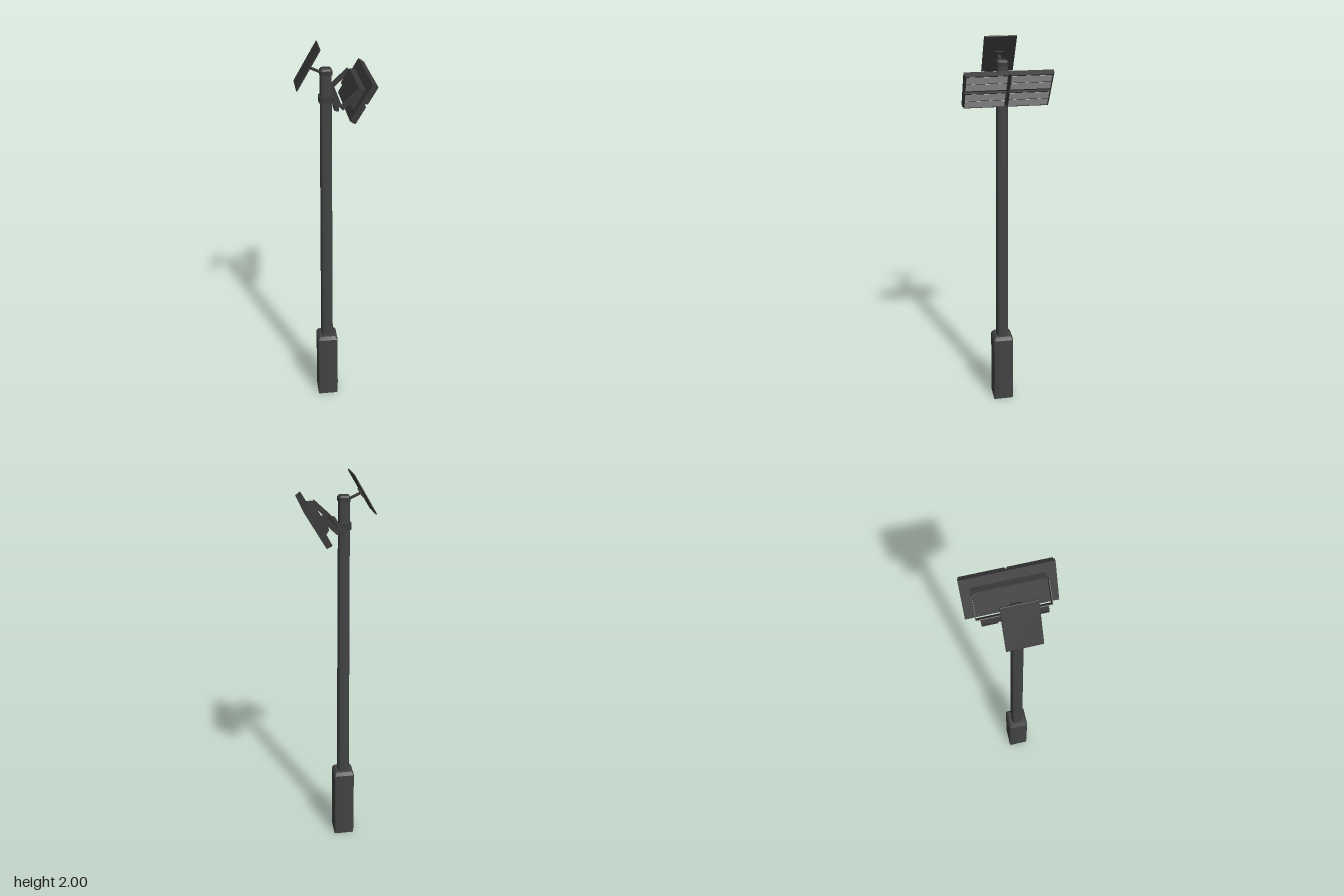
import * as THREE from 'three';
import { toCreasedNormals } from 'three/addons/utils/BufferGeometryUtils.js';
import { RoundedBoxGeometry } from 'three/addons/geometries/RoundedBoxGeometry.js';

const mat = (name, color) => Object.assign(new THREE.MeshStandardMaterial({ color }), { name });

export function createModel() {
  const root = new THREE.Group();
  root.name = 'solarFloodlightPole';
  const poleGrey = mat('poleGrey', 0x424343);
  const housing = mat('darkHousing', 0x393939);
  const lens = mat('lensGrey', 0xbcbcbc);
  const poleX = -0.034;

  const add = (parent, name, geo, material, x = 0, y = 0, z = 0) => {
    const m = new THREE.Mesh(geo, material);
    m.name = name;
    m.position.set(x, y, z);
    parent.add(m);
    return m;
  };
  const box = (parent, name, w, h, d, material, x, y, z) =>
    add(parent, name, new THREE.BoxGeometry(w, h, d), material, x, y, z);
  const group = (name, x, y, tilt) => {
    const g = new THREE.Group();
    g.name = name;
    g.position.set(x, y, 0);
    g.rotation.z = tilt;
    root.add(g);
    return g;
  };

  // Upright prism with a rounded square section, tapering towards its top
  const prism = (name, half, r, y0, y1, topScale, material) => {
    const s = new THREE.Shape();
    const c = half - r;
    [[c, c], [-c, c], [-c, -c], [c, -c]].forEach(([x, y], i) =>
      s.absarc(x, y, r, i * Math.PI / 2, (i + 1) * Math.PI / 2, false));
    const h = y1 - y0;
    const g = new THREE.ExtrudeGeometry(s, { depth: h, bevelEnabled: false, curveSegments: 5 });
    g.rotateX(-Math.PI / 2);
    const p = g.attributes.position;
    for (let i = 0; i < p.count; i++) {
      const k = 1 + (topScale - 1) * p.getY(i) / h;
      p.setX(i, p.getX(i) * k);
      p.setZ(i, p.getZ(i) * k);
    }
    return add(root, name, toCreasedNormals(g, 0.6), material, poleX, y0, 0);
  };

  // Battery base, pole and cap
  prism('base', 0.054, 0.008, 0, 0.382, 1, poleGrey);
  prism('baseShoulder', 0.054, 0.008, 0.382, 0.4, 0.78, poleGrey);
  prism('pole', 0.031, 0.016, 0.395, 1.87, 0.84, poleGrey);
  prism('poleCap', 0.029, 0.014, 1.865, 1.885, 1, housing);
  prism('poleCapTop', 0.029, 0.014, 1.885, 1.893, 0.8, housing);
  box(root, 'baseLatch', 0.006, 0.025, 0.008, housing, poleX + 0.054, 0.07, 0.035);

  // Clamp and crossarm
  prism('clamp', 0.034, 0.014, 1.737, 1.765, 1, housing);
  box(root, 'crossarm', 0.013, 0.026, 0.29, housing, 0.0015, 1.751, 0);
  for (const s of [-1, 1])
    box(root, 'crossarmEnd', 0.021, 0.02, 0.07, housing, -0.0015, 1.751, s * 0.11);

  // Tilted solar panel with its strut
  const panel = group('solarPanel', -0.12, 1.906, -0.533);
  add(panel, 'panelPlate', new RoundedBoxGeometry(0.007, 0.213, 0.157, 2, 0.003), housing);
  box(panel, 'panelHub', 0.012, 0.04, 0.04, housing, 0.006, 0, 0);
  const a = new THREE.Vector2(-0.12, 1.904), b = new THREE.Vector2(-0.05, 1.872);
  const strut = group('panelStrut', (a.x + b.x) / 2, (a.y + b.y) / 2, Math.atan2(b.y - a.y, b.x - a.x));
  box(strut, 'strutBar', a.distanceTo(b), 0.01, 0.016, housing, 0, 0, 0);

  // U-shaped yoke
  const yoke = group('yoke', 0.016, 1.759, 0.75);
  box(yoke, 'yokeBack', 0.004, 0.026, 0.328, housing, 0, 0, 0);
  for (const s of [-1, 1])
    box(yoke, 'yokeArm', 0.112, 0.026, 0.003, housing, 0.054, 0, s * 0.1635);

  // Floodlight: local +x is the lit side
  const lamp = group('floodlight', 0.1125, 1.785, -0.541);
  box(lamp, 'lampPlate', 0.019, 0.191, 0.41, housing, -0.006, 0, 0);
  const profile = new THREE.Shape([[-0.012, -0.053], [-0.012, 0.053], [-0.04, 0.039], [-0.04, -0.039]]
    .map(([x, y]) => new THREE.Vector2(x, y)));
  add(lamp, 'driverBox', new THREE.ExtrudeGeometry(profile, { depth: 0.32, bevelEnabled: false }),
    housing, 0, 0, -0.16);

  // Four lamp modules, each with two lens strips
  for (const sy of [-1, 1]) for (const sz of [-1, 1]) {
    box(lamp, 'lampModule', 0.012, 0.089, 0.196, housing, 0.0085, sy * 0.051, sz * 0.102);
    for (const o of [-1, 1])
      box(lamp, 'lensStrip', 0.002, 0.038, 0.186, lens, 0.0147, sy * 0.051 + o * 0.0208, sz * 0.102);
  }
  return root;
}
